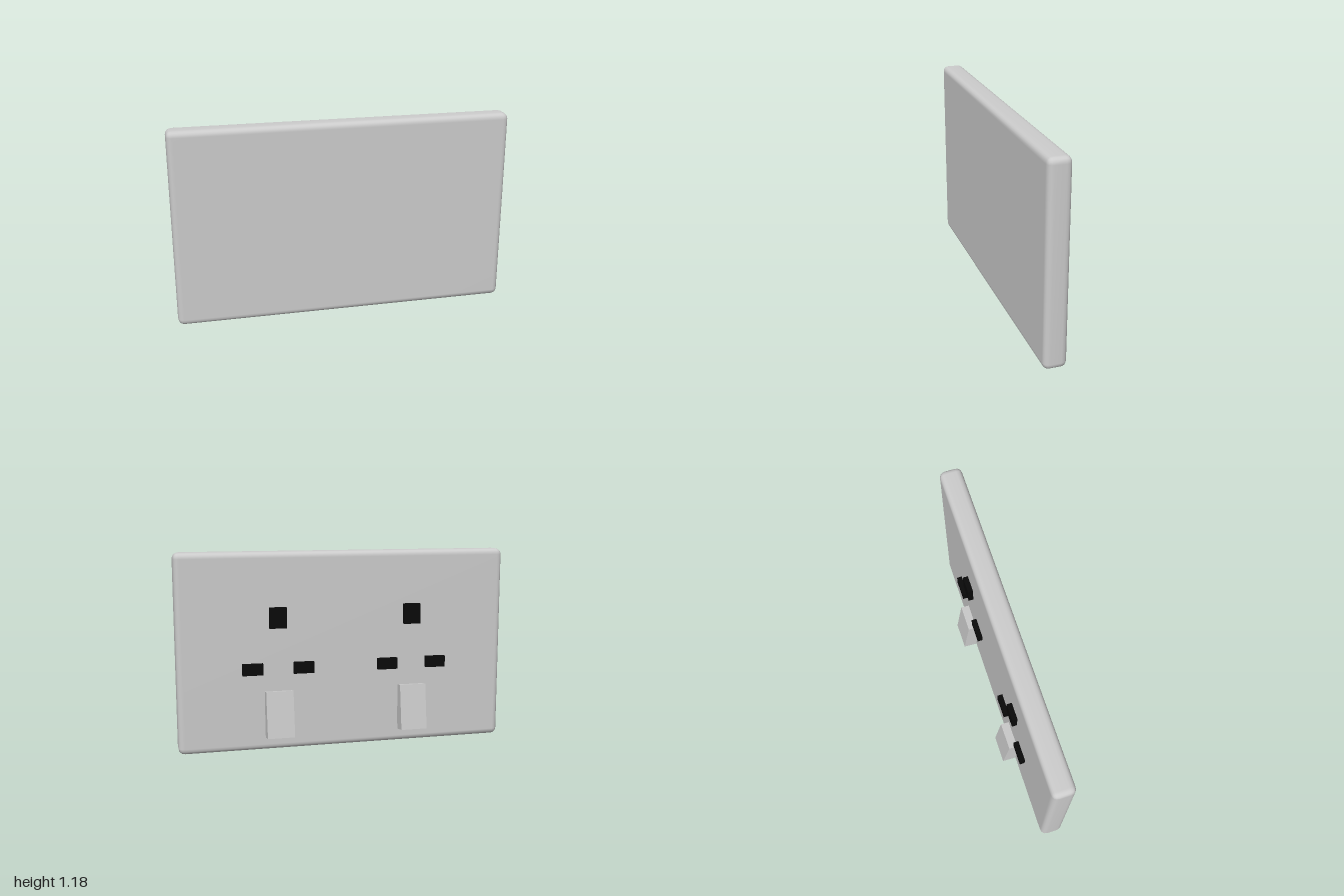
import * as THREE from 'three';
import { RoundedBoxGeometry } from 'three/addons/geometries/RoundedBoxGeometry.js';
import { mergeVertices } from 'three/addons/utils/BufferGeometryUtils.js';

export function createModel() {
  const model = new THREE.Group();
  model.name = 'doubleSocket';
  const grey = new THREE.MeshStandardMaterial({ name: 'plastic grey', color: 0xcccccc });
  const black = new THREE.MeshStandardMaterial({ name: 'slot black', color: 0x0a0a0a });

  const add = (parent, name, geometry, material, x, y, z) => {
    const mesh = new THREE.Mesh(geometry, material);
    mesh.name = name;
    mesh.position.set(x, y, z);
    parent.add(mesh);
    return mesh;
  };

  // Face plate with rounded edges, smoothed across the whole surface
  let plate = new RoundedBoxGeometry(2, 1.176, 0.134, 2, 0.036);
  plate.deleteAttribute('normal');
  plate.deleteAttribute('uv');
  plate = mergeVertices(plate, 1e-4);
  plate.computeVertexNormals();
  add(model, 'facePlate', plate, grey, 0, 0.59, 0.045);

  // Two identical outlets: earth slot, pair of pin slots and a tilted rocker switch
  for (const [side, x] of [['left', 0.41], ['right', -0.41]]) {
    const outlet = new THREE.Group();
    outlet.name = side + 'Outlet';
    outlet.position.x = x;
    model.add(outlet);

    add(outlet, 'earthSlot', new THREE.BoxGeometry(0.1, 0.122, 0.05), black, 0, 0.796, -0.027);
    for (const s of [1, -1]) {
      add(outlet, s > 0 ? 'leftPinSlot' : 'rightPinSlot',
        new THREE.BoxGeometry(0.122, 0.067, 0.05), black, s * 0.152, 0.496, -0.027);
    }
    const rocker = add(outlet, 'rockerSwitch',
      new THREE.BoxGeometry(0.162, 0.275, 0.08), grey, 0, 0.2235, -0.051);
    rocker.rotation.x = 0.136;
  }
  return model;
}
